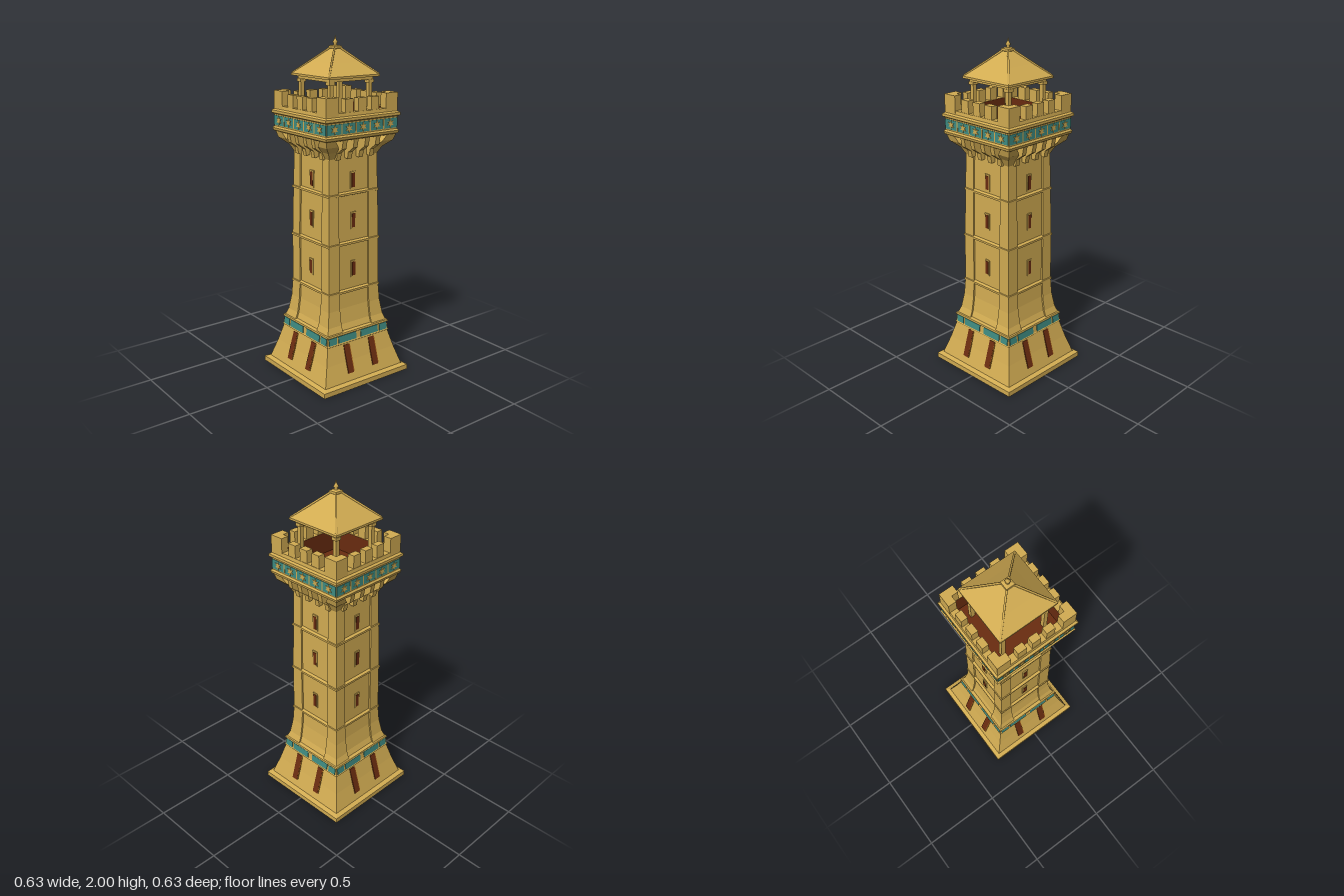
import * as THREE from 'three';

const mat = (name, color) => {
  const m = new THREE.MeshStandardMaterial({ color });
  m.name = name;
  return m;
};

export function createModel() {
  const tower = new THREE.Group();
  tower.name = 'tower';
  const sand = mat('sandstone', 0xd2ac52);
  const brown = mat('darkBrown', 0x6a2c10);
  const ochre = mat('ochre', 0xa4651c);
  const teal = mat('teal', 0x3f8c82);

  const add = (parent, name, geo, material, x = 0, y = 0, z = 0) => {
    const m = new THREE.Mesh(geo, material);
    m.name = name;
    m.position.set(x, y, z);
    parent.add(m);
    return m;
  };
  const box = (parent, name, material, w, h, d, x, y, z) =>
    add(parent, name, new THREE.BoxGeometry(w, h, d), material, x, y, z);
  const flat = (geo) => {
    const g = geo.index ? geo.toNonIndexed() : geo;
    g.computeVertexNormals();
    return g;
  };
  // Square turned solid; rows are [y, half width], running upward on the outside
  const square = (name, rows, material) => add(tower, name, flat(new THREE.LatheGeometry(
    rows.map(([y, r]) => new THREE.Vector2(r * Math.SQRT2, y)), 4, Math.PI / 4)), material);

  // Half width of the shaft with height
  const shaft = [[0.31, 0.222], [0.36, 0.203], [0.45, 0.189], [0.55, 0.183], [0.84, 0.181],
    [1.13, 0.175], [1.34, 0.17], [1.38, 0.19], [1.42, 0.235], [1.46, 0.247]];
  const halfAt = (y) => {
    const i = Math.max(1, shaft.findIndex((s) => s[0] >= y));
    const [a, b] = [shaft[i - 1], shaft[i]];
    return a[1] + (b[1] - a[1]) * (y - a[0]) / (b[0] - a[0]);
  };

  // Plinth and battered base
  square('plinth', [[0, 0], [0, 0.314], [0.03, 0.314], [0.04, 0.288]], sand);
  square('base', [[0.035, 0.288], [0.15, 0.252], [0.26, 0.223]], sand);
  square('lowerBand', [[0.25, 0.222], [0.257, 0.231], [0.265, 0.226], [0.305, 0.222],
    [0.31, 0.228], [0.32, 0.226], [0.327, 0.2]], sand);

  // Recessed wall panels
  square('shaftCore', [...shaft.slice(0, 7).map(([y, h]) => [y, h - 0.01]), [1.46, 0.16]], sand);
  for (const y of [0.55, 0.84, 1.13]) {
    const h = halfAt(y);
    square('stringCourse', [[y - 0.012, h - 0.012], [y - 0.006, h + 0.005], [y + 0.006, h + 0.005],
      [y + 0.014, h - 0.012]], sand);
  }

  // Corner pilasters that flare out under the gallery
  const pilaster = new THREE.BoxGeometry(1, 1, 1, 1, shaft.length - 1, 1);
  const p = pilaster.attributes.position;
  for (let i = 0; i < p.count; i++) {
    const row = Math.round((p.getY(i) + 0.5) * (shaft.length - 1));
    const [y, h] = shaft[row];
    const inner = row < 7 ? 0.108 : Math.min(0.185, 0.125 + (row - 7) * 0.03);
    p.setXYZ(i, p.getX(i) > 0 ? h : inner, y, p.getZ(i) > 0 ? h : inner);
  }
  const pilasterGeo = flat(pilaster);

  // Gallery shell
  square('soffit', [[1.452, 0], [1.452, 0.24]], ochre);
  square('galleryWall', [[1.452, 0.238], [1.46, 0.254], [1.475, 0.258], [1.485, 0.25],
    [1.555, 0.25], [1.562, 0.262], [1.577, 0.262], [1.585, 0.25], [1.605, 0.247], [1.605, 0.202]], sand);
  square('galleryFloor', [[1.605, 0.202], [1.48, 0.202], [1.48, 0]], brown);

  // Shared corbel and flower shapes
  const bracket = new THREE.Shape([[0.155, 1.34], [0.185, 1.335], [0.192, 1.375], [0.235, 1.405],
    [0.245, 1.455], [0.155, 1.455]].map(([z, y]) => new THREE.Vector2(z, y)));
  const corbelGeo = new THREE.ExtrudeGeometry(bracket, { depth: 0.03, bevelEnabled: false });
  corbelGeo.translate(0, 0, -0.015).rotateY(-Math.PI / 2);
  const star = [];
  for (let i = 0; i < 12; i++) {
    const r = i % 2 ? 0.011 : 0.026, a = i * Math.PI / 6;
    star.push(new THREE.Vector2(Math.sin(a) * r, Math.cos(a) * r));
  }
  const flowerGeo = new THREE.ExtrudeGeometry(new THREE.Shape(star), { depth: 0.004, bevelEnabled: false });

  for (let side = 0; side < 4; side++) {
    const face = new THREE.Group();
    face.name = 'towerSide';
    face.rotation.y = side * Math.PI / 2;
    tower.add(face);
    add(face, 'cornerPilaster', pilasterGeo, sand);

    // Base slots and lower frieze
    for (const s of [-1, 1]) {
      const slot = box(face, 'baseSlot', brown, 0.04, 0.17, 0.009, s * 0.092, 0.163, 0.25);
      slot.rotation.x = -0.29;
      const rim = box(face, 'slotEdge', ochre, 0.008, 0.165, 0.009, s * 0.092 + 0.021, 0.163, 0.2495);
      rim.rotation.x = -0.29;
      for (const [x, w] of [[0.082, 0.13], [0.188, 0.055]]) {
        const panel = box(face, 'lowerFriezePanel', teal, w, 0.042, 0.006, s * x, 0.285, 0.225);
        panel.rotation.x = -0.1;
      }
    }

    // Narrow windows with plain surrounds
    for (const y of [0.68, 0.97, 1.205]) {
      const z = halfAt(y) - 0.008;
      box(face, 'windowSurround', sand, 0.036, 0.1, 0.006, 0, y, z);
      box(face, 'window', brown, 0.022, 0.082, 0.008, 0, y, z + 0.001);
    }

    // Corbels with dark gaps between them
    box(face, 'corbelShadowPanel', brown, 0.27, 0.05, 0.008, 0, 1.428, 0.17);
    for (const x of [-0.117, -0.04, 0.04, 0.117]) add(face, 'corbel', corbelGeo, sand, x);

    // Upper frieze
    box(face, 'upperFrieze', teal, 0.495, 0.056, 0.006, 0, 1.52, 0.25);
    for (let i = -2; i <= 2; i++) add(face, 'friezeFlower', flowerGeo, sand, i * 0.098, 1.52, 0.252);
    for (let i = -2; i < 2; i++) box(face, 'friezeBar', sand, 0.008, 0.054, 0.005, (i + 0.5) * 0.098, 1.52, 0.2515);

    // Battlements
    for (let i = -1; i <= 1; i++)
      box(face, 'merlon', sand, 0.054, 0.085, 0.04, i * 0.09, 1.635, 0.225);
    const corner = new THREE.Shape([[0.165, 0.25], [0.25, 0.25], [0.25, 0.165], [0.203, 0.165],
      [0.203, 0.203], [0.165, 0.203]].map(([x, z]) => new THREE.Vector2(x, -z)));
    const cornerGeo = new THREE.ExtrudeGeometry(corner, { depth: 0.1, bevelEnabled: false });
    cornerGeo.rotateX(-Math.PI / 2);
    add(face, 'cornerMerlon', cornerGeo, sand, 0, 1.59, 0);

    // Belfry post, capital and beam
    box(face, 'belfryPost', sand, 0.024, 0.29, 0.024, 0.136, 1.62, 0.136);
    box(face, 'postCapital', sand, 0.036, 0.018, 0.036, 0.136, 1.75, 0.136);
    box(face, 'belfryBeam', sand, 0.3, 0.02, 0.03, 0, 1.768, 0.136);

    // Roof hip ridge
    const hip = new THREE.LineCurve3(new THREE.Vector3(0.172, 1.79, 0.172), new THREE.Vector3(0.022, 1.928, 0.022));
    add(face, 'hipRidge', new THREE.TubeGeometry(hip, 1, 0.006, 6), sand);
  }

  // Pyramid roof and finial
  square('roofUnderside', [[1.777, 0], [1.777, 0.172]], brown);
  square('roof', [[1.776, 0.165], [1.776, 0.178], [1.788, 0.178], [1.855, 0.101], [1.925, 0.023],
    [1.928, 0.027], [1.94, 0.026], [1.945, 0.014], [1.945, 0]], sand);
  add(tower, 'finial', new THREE.LatheGeometry([[0.012, 1.943], [0.009, 1.953], [0.015, 1.962],
    [0.009, 1.971], [0.005, 1.98], [0, 2]].map(([r, y]) => new THREE.Vector2(r, y)), 8), sand);

  return tower;
}
